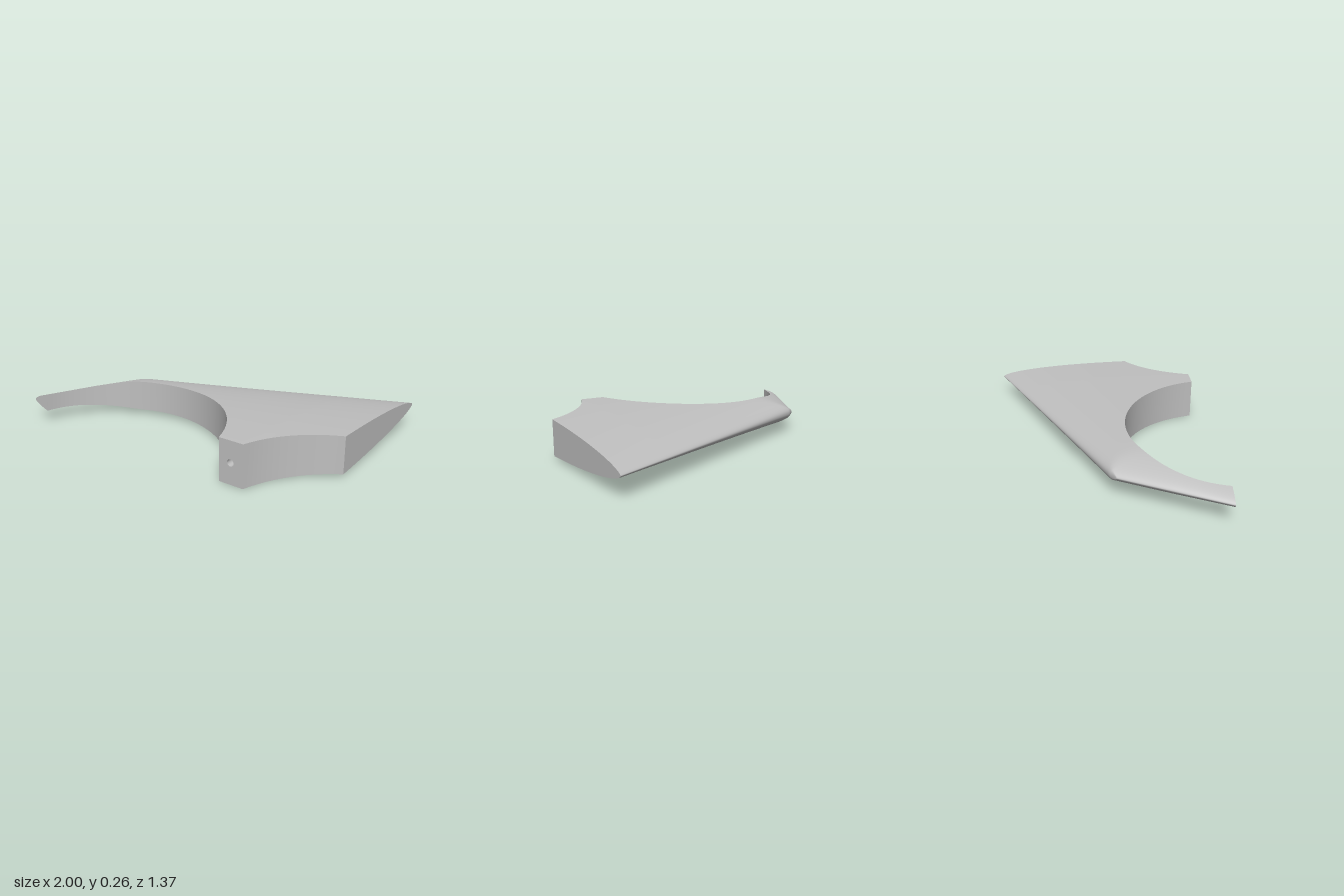
import * as THREE from 'three';

const H = 0.129;        // half of the greatest thickness, also the mid height
const FRONT = 0.685;    // z of the front ends
const R = 0.716, CZ = 0.886; // scooped circles
const lerp = THREE.MathUtils.lerp;
const clamp01 = (v) => Math.min(1, Math.max(0, v));

// Plan outline: swept edge with a clipped elbow, and scooped trailing edge
const sweepZ = (x) => Math.max(0.05 - 0.448 * (x + 0.64), 0.05 - 0.8 * (x + 0.64));
const leadZ = (x) => (x < -0.69 ? 0.09 + (-0.69 - x) * (0.595 / 0.31) : sweepZ(x));
const legX = (z) => -0.69 - (z - 0.09) * (0.31 / 0.595);
function trailZ(x) {
  if (x >= 0.4849 && x <= 0.6401) return FRONT;
  const cx = x < 0.5 ? -0.2025 : 1.3275;
  return CZ - Math.sqrt(R * R - (x - cx) ** 2);
}

// Half thickness: rounded nose on the wing blended with the thinner leg
const nose = (u, p) => Math.pow(Math.max(0, 1 - (1 - clamp01(u)) ** 2), p);
function half(x, z) {
  const lead = sweepZ(x);
  const p = lerp(0.45, 0.6, clamp01((x + 0.6) / 1.6));
  const root = 1 - 0.07 * clamp01((x - 0.64) / 0.36);
  const wing = H * root * nose((z - lead) / (FRONT - lead), p);
  const v = x - legX(z);
  const slim = x < 0 ? 1 - 0.14 * clamp01((z - 0.4) / 0.285) : 1;
  const leg = H * slim * nose(v / 0.6, 0.65) + Math.max(0, v - 0.4) * 0.5;
  if (wing < 1e-5 || leg < 1e-5) return 0;
  const m = Math.min(wing, leg);
  return m * Math.pow((m / wing) ** 16 + (m / leg) ** 16, -1 / 16);
}

// Surface through rows of points
function grid(rows) {
  const n = rows[0].length, index = [];
  for (let i = 0; i < rows.length - 1; i++) {
    for (let j = 0; j < n - 1; j++) {
      const a = i * n + j, b = a + 1, c = a + n, d = c + 1;
      index.push(a, b, c, b, d, c);
    }
  }
  const g = new THREE.BufferGeometry();
  g.setAttribute('position', new THREE.Float32BufferAttribute(rows.flat(2), 3));
  g.setIndex(index);
  g.computeVertexNormals();
  return g;
}

export function createModel() {
  const group = new THREE.Group();
  const grey = new THREE.MeshStandardMaterial({ color: 0xbfbfbf });
  grey.name = 'lightGrey';
  const inner = new THREE.MeshStandardMaterial({ color: 0xbfbfbf, side: THREE.DoubleSide });
  inner.name = 'lightGreyInner';
  const add = (name, geometry, material = grey) => {
    const mesh = new THREE.Mesh(geometry, material);
    mesh.name = name;
    group.add(mesh);
    return mesh;
  };

  // Matching stations on the leading and trailing edges
  const leadKeys = [-1, -0.69, -0.64, 0.42, 0.62, 1];
  const trailKeys = [-0.89, -0.62, -0.56, 0.485, 0.64, 1];
  const steps = [28, 6, 64, 8, 24];
  const stations = [];
  const starts = [0];
  steps.forEach((count, k) => {
    for (let i = k ? 1 : 0; i <= count; i++) {
      const t = i / count;
      const lx = lerp(leadKeys[k], leadKeys[k + 1], t);
      const tx = lerp(trailKeys[k], trailKeys[k + 1], t);
      stations.push([lx, leadZ(lx), tx, trailZ(tx)]);
    }
    starts.push(stations.length - 1);
  });

  // Chord points from nose to trailing edge, denser at the nose
  const N = 30;
  const chords = stations.map(([lx, lz, tx, tz]) => {
    const pts = [];
    for (let j = 0; j <= N; j++) {
      const s = (j / N) ** 2;
      const x = lerp(lx, tx, s), z = lerp(lz, tz, s);
      pts.push({ x, z, h: j ? half(x, z) : 0 });
    }
    return pts;
  });
  const top = (p) => [p.x, H + p.h, p.z];
  const bottom = (p) => [p.x, H - p.h, p.z];

  // Smooth upper and lower skin, wrapped round the nose
  add('wingSkin', grid(chords.map((c) => [...c.slice(1).reverse().map(bottom), ...c.map(top)])));

  // Scooped walls on the trailing edge
  const wall = (a, b) => grid(chords.slice(a, b + 1).map((c) => [top(c[N]), bottom(c[N])]));
  add('largeScoopWall', wall(0, starts[3]));
  add('smallScoopWall', wall(starts[4], starts[5]));

  // Flat ends of the leg and the root
  add('legEnd', grid(chords[0].map((p) => [top(p), bottom(p)])));
  add('rootEnd', grid(chords[chords.length - 1].map((p) => [bottom(p), top(p)])));

  // Front face with a pin hole
  const hx = 0.56, hr = 0.021, depth = 0.12;
  const face = new THREE.Shape();
  const a = chords[starts[3]][N], b = chords[starts[4]][N];
  face.moveTo(a.x, H - a.h);
  face.lineTo(b.x, H - b.h);
  face.lineTo(b.x, H + b.h);
  face.lineTo(a.x, H + a.h);
  face.closePath();
  const hole = new THREE.Path();
  hole.absarc(hx, H, hr, 0, Math.PI * 2, true);
  face.holes.push(hole);
  add('frontFace', new THREE.ShapeGeometry(face, 24)).position.z = FRONT;

  const bore = new THREE.CylinderGeometry(hr, hr, depth, 24, 1, true).rotateX(Math.PI / 2);
  add('pinHole', bore, inner).position.set(hx, H, FRONT - depth / 2);
  add('pinHoleEnd', new THREE.CircleGeometry(hr, 24)).position.set(hx, H, FRONT - depth);

  return group;
}
